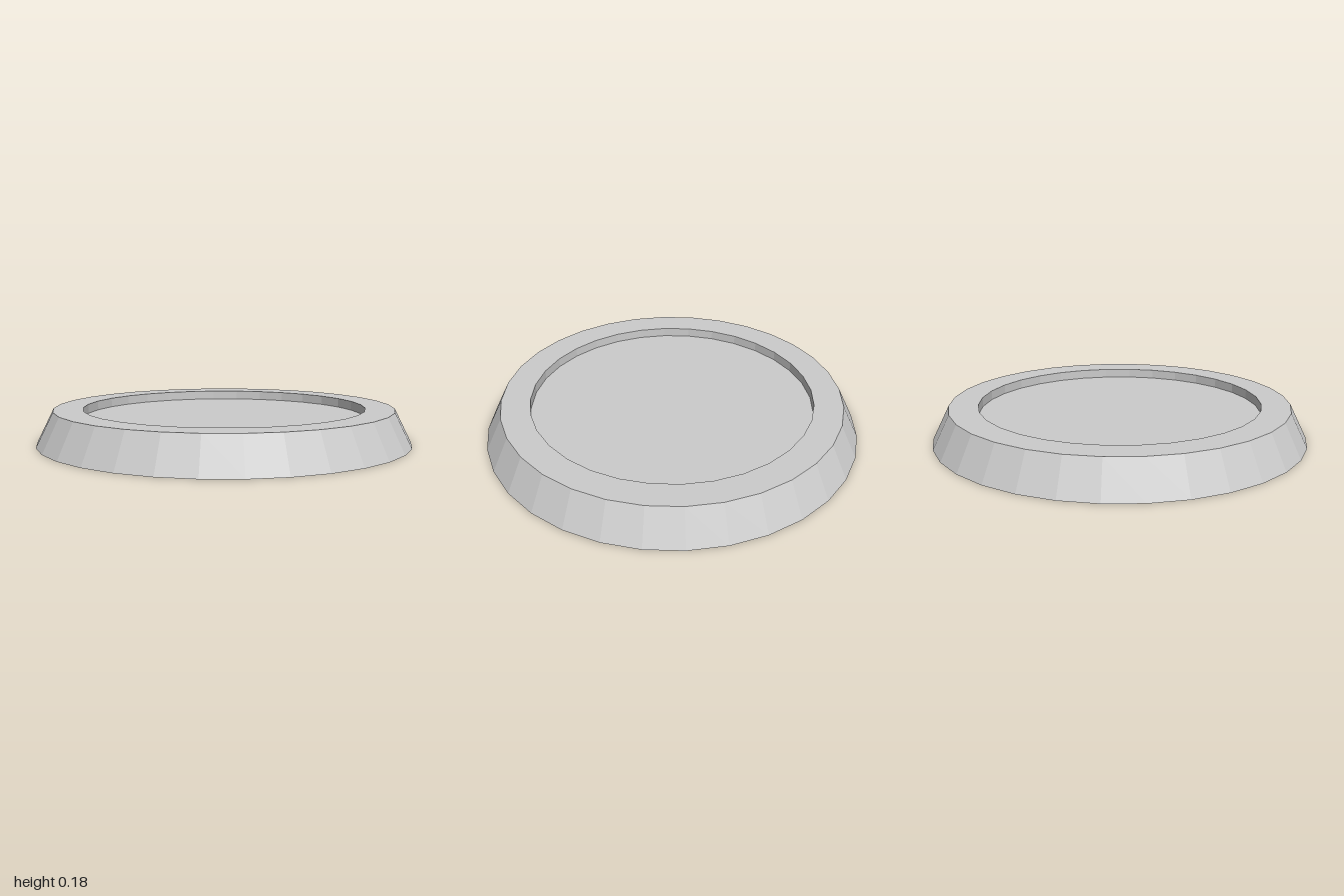
import * as THREE from 'three';

const SIDES = 32;
const BASE_RADIUS = 1;
const RIM_RADIUS = 0.91;
const RECESS_RADIUS = 0.755;
const HEIGHT = 0.18;
const FLOOR_HEIGHT = 0.13;

export function createModel() {
  const group = new THREE.Group();
  group.name = 'roundBase';
  const material = new THREE.MeshStandardMaterial({ color: 0xcccccc, flatShading: true });

  const add = (name, geometry) => {
    const mesh = new THREE.Mesh(geometry, material);
    mesh.name = name;
    group.add(mesh);
    return mesh;
  };

  // Sloped skirt, flat rim and the upright wall of the recess
  const profile = [
    [BASE_RADIUS, 0],
    [RIM_RADIUS, HEIGHT],
    [RIM_RADIUS, HEIGHT],
    [RECESS_RADIUS, HEIGHT],
    [RECESS_RADIUS, HEIGHT],
    [RECESS_RADIUS, FLOOR_HEIGHT],
  ].filter((p, i, all) => i === 0 || p.join() !== all[i - 1].join())
    .map(([r, y]) => new THREE.Vector2(r, y));
  add('rim', new THREE.LatheGeometry(profile, SIDES));

  // Sunken floor
  const floor = new THREE.CircleGeometry(RECESS_RADIUS, SIDES).rotateX(-Math.PI / 2);
  add('recessFloor', floor).position.y = FLOOR_HEIGHT;

  // Flat underside
  add('underside', new THREE.CircleGeometry(BASE_RADIUS, SIDES).rotateX(Math.PI / 2));

  return group;
}
